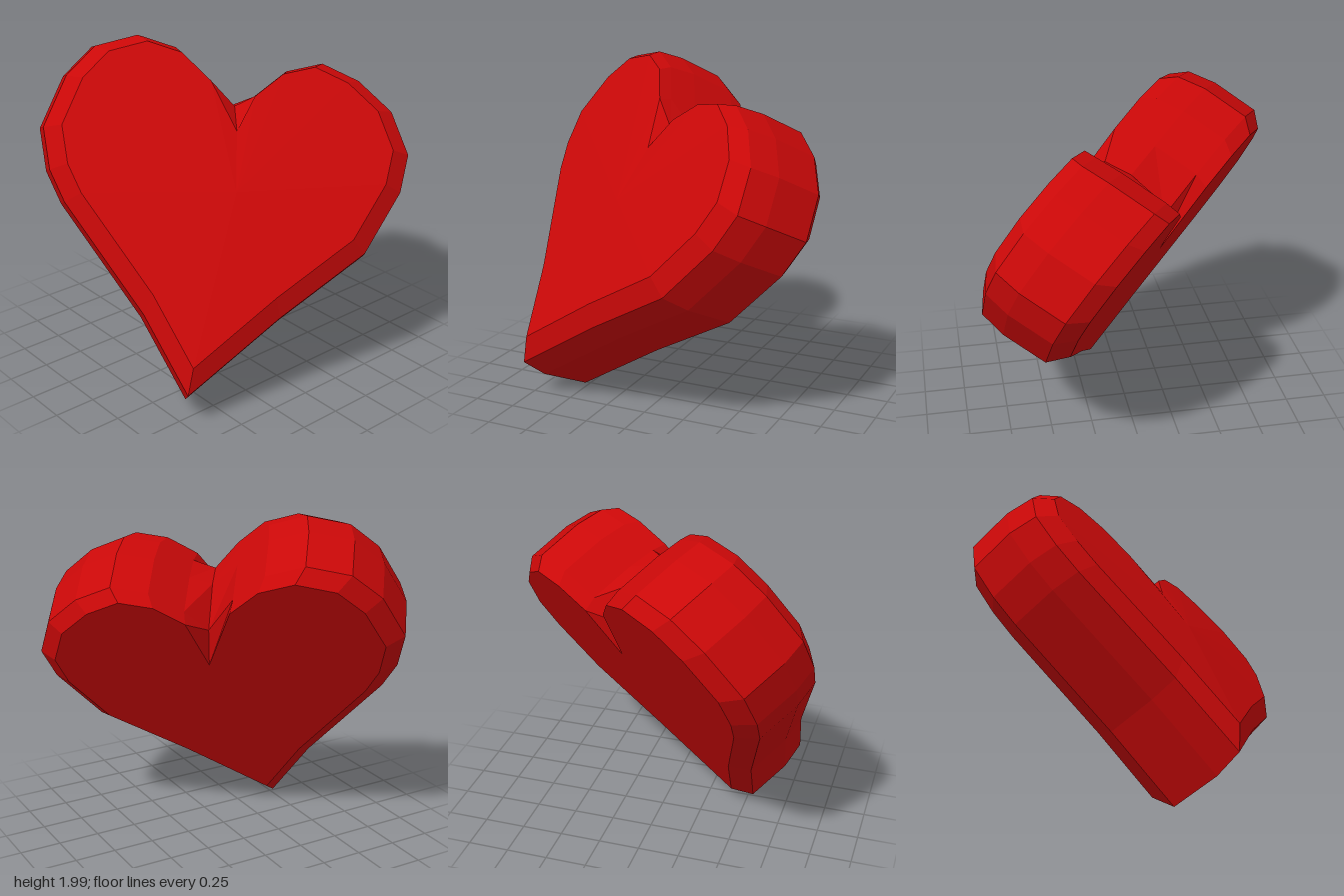
import * as THREE from 'three';

// Heart outline, counter-clockwise from the tip; the notch is listed separately
const rightSide = [[-0.285, -0.27], [0.26, 0.15], [0.77, 0.5], [1.0, 0.85], [1.06, 1.07], [0.975, 1.33],
  [0.79, 1.52], [0.58, 1.63], [0.37, 1.59], [0.18, 1.45]];
const leftSide = [[-0.1, 1.56], [-0.28, 1.75], [-0.5, 1.83], [-0.75, 1.77], [-0.92, 1.6], [-1.06, 1.3],
  [-1.03, 1.05], [-0.95, 0.86], [-0.52, 0.2]];

// Layers from back to front: depth, scale of the outline, upward shift, height of the notch
const layers = [
  { depth: 0.34, scale: 0.9, lift: 0.07, notch: 1.12 },
  { depth: 0.43, scale: 1, lift: 0.02, notch: 1.32 },
  { depth: 0.72, scale: 1.01, lift: -0.01, notch: 1.4 },
  { depth: 0.89, scale: 0.98, lift: -0.02, notch: 1.36 },
  { depth: 0.97, scale: 0.88, lift: 0.02, notch: 1.2 },
];
const centre = [0.03, 0.85];

function heartGeometry() {
  const rings = layers.map(({ depth, scale, lift, notch }) => {
    const place = ([a, b]) => [
      centre[0] + (a - centre[0]) * scale, centre[1] + (b - centre[1]) * scale + lift, depth];
    return [...rightSide.map(place), [0.05, notch, depth], ...leftSide.map(place)];
  });
  const count = rings[0].length;
  const last = rings.length - 1;
  const back = [...centre, 0.34];
  const front = [...centre, 0.99];
  const positions = [];
  const tri = (...corners) => corners.forEach((p) => positions.push(...p));

  for (let i = 0; i < count; i++) {
    const j = (i + 1) % count;
    // side walls and bevels
    for (let k = 0; k < last; k++) {
      const [low, high] = [rings[k], rings[k + 1]];
      tri(low[i], low[j], high[j]);
      tri(low[i], high[j], high[i]);
    }
    // front and back faces
    tri(front, rings[last][i], rings[last][j]);
    tri(back, rings[0][j], rings[0][i]);
  }
  const geometry = new THREE.BufferGeometry();
  geometry.setAttribute('position', new THREE.Float32BufferAttribute(positions, 3));

  // Lean the heart back and turn it so it balances on its tip
  const across = new THREE.Vector3(0.814, 0, 0.581).normalize();
  const normal = new THREE.Vector3(-0.5, 0.51, 0.7).normalize();
  const up = new THREE.Vector3().crossVectors(normal, across).normalize();
  geometry.applyMatrix4(new THREE.Matrix4().makeBasis(across, up, normal));

  // Rest on the ground, centred
  geometry.computeBoundingBox();
  const box = geometry.boundingBox;
  geometry.translate(-(box.min.x + box.max.x) / 2, -box.min.y, -(box.min.z + box.max.z) / 2);
  geometry.computeVertexNormals();
  return geometry;
}

export function createModel() {
  const group = new THREE.Group();
  group.name = 'heartModel';
  const material = new THREE.MeshStandardMaterial({ color: 0xca0808, flatShading: true });
  const heart = new THREE.Mesh(heartGeometry(), material);
  heart.name = 'heart';
  group.add(heart);
  return group;
}
